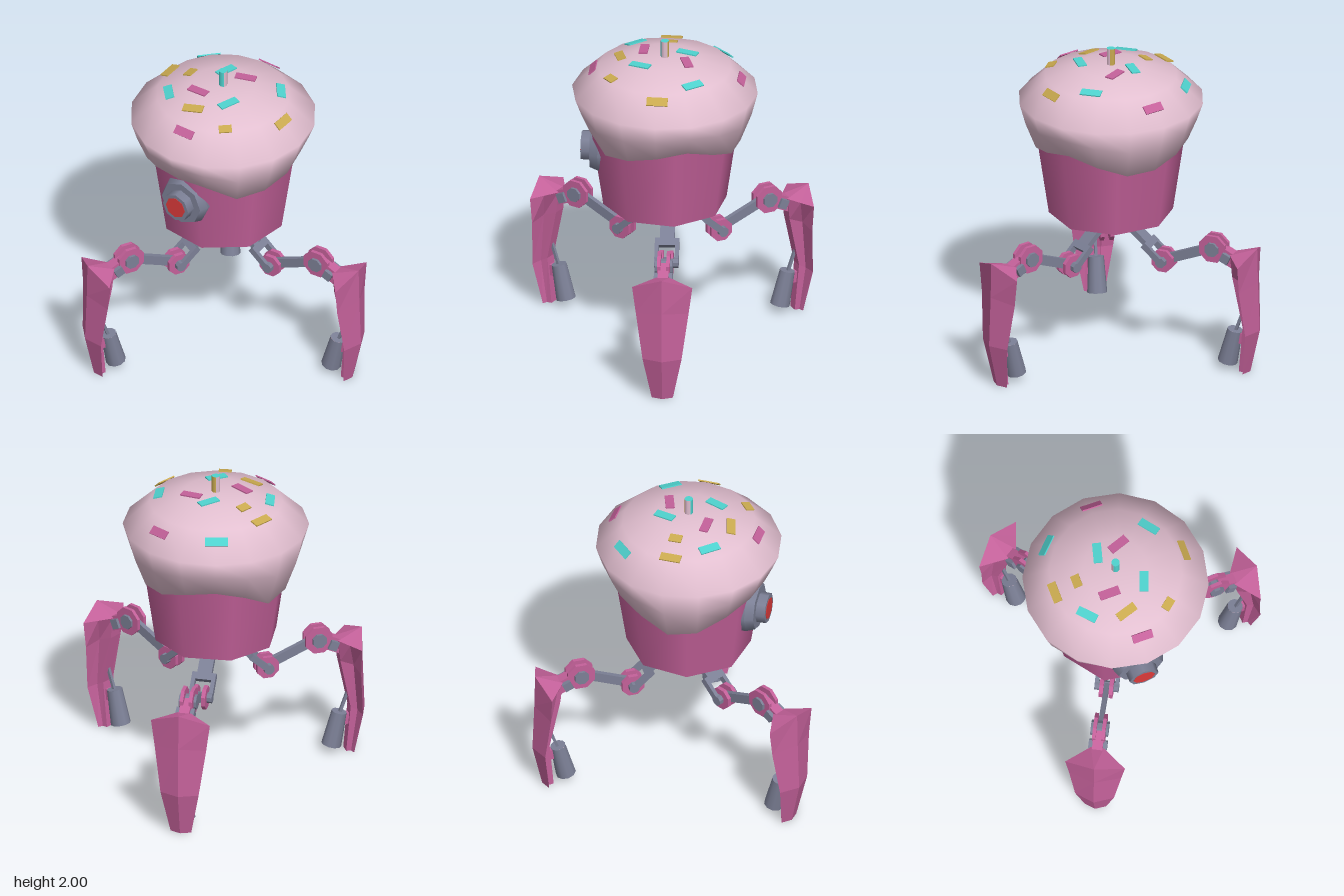
import * as THREE from 'three';
import { mergeVertices } from 'three/addons/utils/BufferGeometryUtils.js';

const mat = (name, color, extra = {}) => new THREE.MeshStandardMaterial({ name, color, ...extra });

// Gives every face its own flat normals
const faceted = geo => {
  const g = geo.toNonIndexed();
  g.computeVertexNormals();
  return g;
};

export function createModel() {
  const pink = mat('pink', 0xc4619a);
  const cream = mat('palePink', 0xe2bfd0, { side: THREE.DoubleSide });
  const grey = mat('grey', 0x7c8096);
  const red = mat('red', 0xdc3a3a);
  const cyan = mat('cyan', 0x4fd3cf);
  const gold = mat('gold', 0xcbab50);

  const model = new THREE.Group();
  model.name = 'cupcakeWalker';
  const body = new THREE.Group();
  body.name = 'body';
  body.position.set(-0.17, 0, 0.012);
  model.add(body);

  const add = (parent, name, geo, material, x = 0, y = 0, z = 0) => {
    const m = new THREE.Mesh(geo, material);
    m.name = name;
    m.position.set(x, y, z);
    parent.add(m);
    return m;
  };

  // Octagonal cup, turned slightly, and base plate
  add(body, 'cup', new THREE.CylinderGeometry(0.468, 0.382, 0.585, 8, 1, false, 0.253), pink, 0, 1.2075);
  add(body, 'basePlate', new THREE.CylinderGeometry(0.21, 0.21, 0.06, 8, 1, false, Math.PI / 8), pink, 0, 0.89);

  // Frosting: a lathe whose lower rings follow a dripping rim
  const profile = [[0.4, 1.5], [0.478, 1.4], [0.535, 1.54], [0.572, 1.67], [0.41, 1.825], [0.2, 1.885], [0, 1.895]];
  // Rim heights every 22.5 degrees, from +x towards +z
  const rim = [1.42, 1.38, 1.36, 1.45, 1.47, 1.46, 1.4, 1.31, 1.285, 1.38, 1.43, 1.4, 1.35, 1.34, 1.4, 1.455];
  let frosting = new THREE.LatheGeometry(profile.map(p => new THREE.Vector2(...p)), 16);
  const pos = frosting.attributes.position;
  for (let i = 0; i < pos.count; i++) {
    const ring = i % profile.length;
    if (ring > 2) continue;
    const k = Math.round(Math.atan2(pos.getZ(i), pos.getX(i)) / (Math.PI / 8));
    const low = rim[(k + 16) % 16];
    pos.setY(i, [low + 0.03, low, low * 0.45 + 1.67 * 0.55][ring]);
    if (ring === 1) {
      const s = (0.458 + (low - 1.29) * 0.15) / 0.478;
      pos.setX(i, pos.getX(i) * s);
      pos.setZ(i, pos.getZ(i) * s);
    }
  }
  frosting.deleteAttribute('uv');
  frosting.deleteAttribute('normal');
  frosting = mergeVertices(frosting, 1e-4);
  frosting.computeVertexNormals();
  add(body, 'frosting', frosting, cream);

  // Sprinkles: [x, z, turn in degrees, length, material]
  const sprinkles = [
    [0.015, -0.47, 0, 0.13, pink], [0.07, -0.142, 20, 0.13, pink],
    [-0.09, 0.138, 0, 0.13, pink], [0.015, 0.438, 0, 0.13, pink],
    [-0.33, -0.322, 45, 0.14, cyan], [-0.07, -0.132, 75, 0.13, cyan],
    [0.29, -0.202, -52, 0.13, cyan], [-0.26, 0.208, -48, 0.13, cyan],
    [0.135, 0.138, 70, 0.13, cyan], [-0.395, 0, 90, 0.13, gold],
    [-0.25, -0.01, 90, 0.08, gold], [0.443, 0, 90, 0.13, gold],
    [-0.03, 0.278, 17, 0.13, gold], [0.23, 0.308, 40, 0.08, gold],
  ];
  const up = new THREE.Vector3(0, 1, 0);
  for (const [x, z, turn, length, material] of sprinkles) {
    const r = Math.hypot(x, z);
    const i = profile.findIndex((p, n) => n > 3 && p[0] <= r);
    const [r0, y0] = profile[i - 1], [r1, y1] = profile[i];
    const slope = (y1 - y0) / (r0 - r1);
    const normal = new THREE.Vector3(x / r * slope, 1, z / r * slope).normalize();
    const m = add(body, 'sprinkle', new THREE.BoxGeometry(length, 0.008, 0.055), material, x, y0 + (r0 - r) * slope, z);
    m.position.addScaledVector(normal, 0.006);
    m.quaternion.setFromUnitVectors(up, normal)
      .multiply(new THREE.Quaternion().setFromAxisAngle(up, turn * Math.PI / 180));
  }

  // Candle with a different colour on each quarter
  [cyan, cream, gold, cream].forEach((material, n) => {
    add(body, 'candleSide', new THREE.CylinderGeometry(0.026, 0.026, 0.13, 2, 1, true,
      (n - 0.5) * Math.PI / 2, Math.PI / 2), material, 0, 1.935);
  });
  add(body, 'candleTop', new THREE.CircleGeometry(0.026, 12).rotateX(-Math.PI / 2), cyan, 0, 2);

  // Eye on the front of the cup
  const disc = (rFront, rBack, depth) => new THREE.CylinderGeometry(rFront, rBack, depth, 8).rotateX(Math.PI / 2);
  add(body, 'eyeRim', disc(0.164, 0.164, 0.09), grey, 0, 1.265, 0.355);
  add(body, 'eyeBevel', disc(0.143, 0.164, 0.053), grey, 0, 1.265, 0.4265);
  add(body, 'eyeBarrel', disc(0.094, 0.096, 0.06), grey, 0, 1.265, 0.482);
  add(body, 'eyeLens', disc(0.07, 0.07, 0.004), red, 0, 1.265, 0.5125);

  // Blade rows: outer ridge [r, y], then side corner, groove and inner edge as [r, y, half width]
  const rows = [
    [[0.955, 0.825], [0.9, 0.755, 0.185], [0.845, 0.762, 0.112], [0.79, 0.77, 0.04]],
    [[0.96, 0.6], [0.9, 0.58, 0.162], [0.885, 0.6, 0.055], [0.805, 0.63, 0.04]],
    [[0.972, 0.28], [0.925, 0.28, 0.12], [0.912, 0.28, 0.045], [0.872, 0.3, 0.035]],
    [[0.91, 0], [0.885, 0, 0.065], [0.875, 0, 0.035], [0.845, 0, 0.03]],
  ].map(([[r, y], ...side]) => [[r, y, 0], ...side, ...side.map(([a, b, w]) => [a, b, -w]).reverse()]);
  const verts = [];
  const tri = (a, b, c) => verts.push(...a, ...b, ...c);
  for (let i = 0; i < 3; i++) {
    for (let j = 0; j < 7; j++) {
      const k = (j + 1) % 7, top = rows[i], low = rows[i + 1];
      tri(top[j], top[k], low[k]);
      tri(top[j], low[k], low[j]);
    }
  }
  for (let j = 1; j < 6; j++) {
    tri(rows[0][0], rows[0][j + 1], rows[0][j]);
    tri(rows[3][0], rows[3][j], rows[3][j + 1]);
  }
  const blade = new THREE.BufferGeometry();
  blade.setAttribute('position', new THREE.Float32BufferAttribute(verts, 3));
  blade.computeVertexNormals();

  // Box running between two points of the leg's plane
  const bar = (leg, name, [x0, y0], [x1, y1], height, width, material, z = 0) => {
    const m = add(leg, name, new THREE.BoxGeometry(Math.hypot(x1 - x0, y1 - y0), height, width),
      material, (x0 + x1) / 2, (y0 + y1) / 2, z);
    m.rotation.z = Math.atan2(y1 - y0, x1 - x0);
  };
  const joint = (leg, name, [x, y], r, width, material, z = 0) => add(leg, name,
    faceted(new THREE.CylinderGeometry(r, r, width, 8, 1, false, Math.PI / 8).rotateX(Math.PI / 2)), material, x, y, z);

  const hip = [0.07, 0.89], fork = [0.24, 0.745], knee = [0.34, 0.655], elbow = [0.67, 0.79];
  const makeLeg = () => {
    const leg = new THREE.Group();
    leg.name = 'leg';
    bar(leg, 'hipStrut', hip, fork, 0.035, 0.09, grey);
    bar(leg, 'forkBridge', [0.225, 0.758], [0.26, 0.727], 0.04, 0.15, grey);
    bar(leg, 'upperArm', knee, elbow, 0.06, 0.03, grey);
    for (const s of [-1, 1]) {
      bar(leg, 'forkProng', fork, knee, 0.04, 0.025, grey, s * 0.0625);
      joint(leg, 'kneeDisc', knee, 0.075, 0.025, pink, s * 0.03);
      joint(leg, 'elbowDisc', elbow, 0.092, 0.022, pink, s * 0.028);
    }
    joint(leg, 'kneePin', knee, 0.033, 0.15, grey);
    joint(leg, 'elbowPin', elbow, 0.047, 0.11, grey);
    bar(leg, 'bladeLink', [0.68, 0.785], [0.83, 0.715], 0.09, 0.065, pink);
    bar(leg, 'bladeCollar', [0.735, 0.757], [0.785, 0.734], 0.06, 0.115, grey);
    add(leg, 'blade', blade, pink);

    // Thruster behind the blade
    const thruster = new THREE.Group();
    thruster.name = 'thruster';
    thruster.position.set(0.784, 0.155, 0);
    thruster.rotation.z = -0.23;
    leg.add(thruster);
    add(thruster, 'thrusterShell', new THREE.CylinderGeometry(0.048, 0.062, 0.225, 10, 1, true), grey);
    add(thruster, 'thrusterCap', new THREE.CircleGeometry(0.048, 10).rotateX(-Math.PI / 2), grey, 0, 0.1125);
    add(thruster, 'thrusterLining', new THREE.CylinderGeometry(0.045, 0.057, 0.223, 10, 1, true), cream);
    bar(leg, 'thrusterBracket', [0.82, 0.215], [0.9, 0.215], 0.07, 0.04, pink);
    bar(leg, 'thrusterRod', [0.81, 0.25], [0.875, 0.43], 0.018, 0.018, grey);
    return leg;
  };

  for (const turn of [3.5, -117.5, 122.5]) {
    const leg = makeLeg();
    leg.position.set(-0.17, 0, -0.013);
    leg.rotation.y = turn * Math.PI / 180;
    model.add(leg);
  }
  return model;
}
